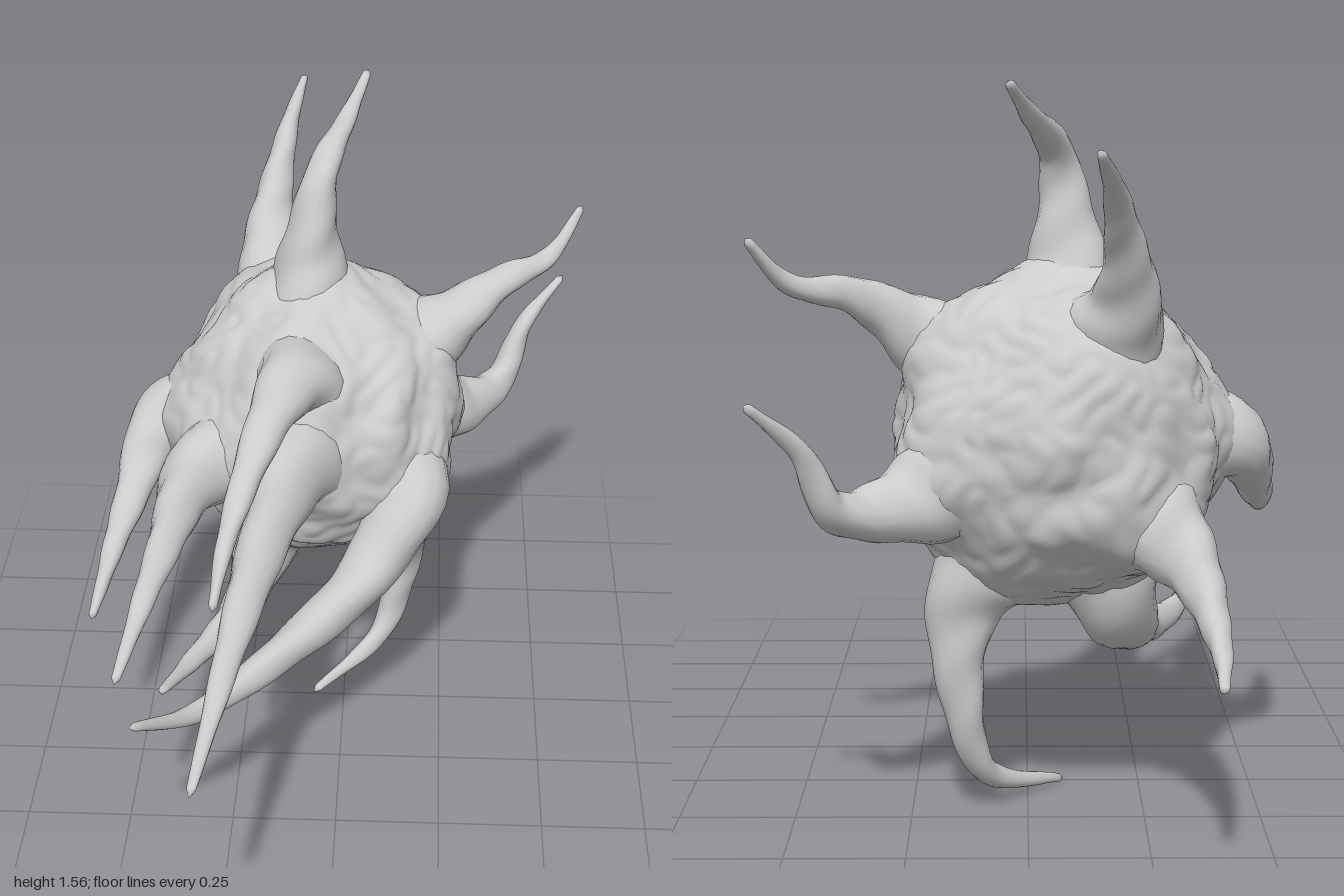
import * as THREE from 'three';
import { mergeVertices } from 'three/addons/utils/BufferGeometryUtils.js';

const CENTER = new THREE.Vector3(-0.07, 0.815, -0.365);
const RADIUS = 0.345;

// Each horn's centre line: root on the body, bends, tip
const HORNS = {
  topHorn: [[-0.085, 1.2, -0.355], [-0.06, 1.41, -0.38], [0, 1.5, -0.56], [0.04, 1.56, -0.69]],
  upperBackHorn: [[-0.2, 1.13, -0.63], [-0.17, 1.33, -0.8], [-0.13, 1.43, -0.99]],
  upperLeftHorn: [[0.24, 1.04, -0.37], [0.37, 1.12, -0.44], [0.49, 1.15, -0.53], [0.57, 1.25, -0.61]],
  lowerLeftHorn: [[0.29, 0.69, -0.6], [0.39, 0.71, -0.7], [0.45, 0.84, -0.76], [0.55, 0.945, -0.84]],
  bottomHorn: [[0.14, 0.45, -0.445], [0.14, 0.25, -0.465], [0.09, 0.08, -0.425], [-0.08, 0.005, -0.25]],
  lowerBackHorn: [[-0.33, 0.59, -0.65], [-0.375, 0.47, -0.83], [-0.37, 0.415, -0.99]],
  rightHorn: [[-0.44, 0.79, -0.32], [-0.52, 0.65, -0.13], [-0.57, 0.55, 0.2]],
  lowerRightHorn: [[-0.2, 0.42, -0.34], [-0.26, 0.34, -0.16], [-0.36, 0.335, 0.07], [-0.41, 0.385, 0.26]],
  upperFrontHorn: [[-0.11, 1.04, -0.07], [-0.16, 1.03, 0.13], [-0.23, 0.89, 0.37], [-0.25, 0.815, 0.53]],
  longFrontHorn: [[-0.12, 0.855, 0.02], [-0.18, 0.82, 0.45], [-0.255, 0.7, 0.995]],
  rightFrontHorn: [[-0.335, 0.8, -0.06], [-0.39, 0.785, 0.28], [-0.45, 0.7, 0.64]],
  sweptFrontHorn: [[0.15, 0.71, -0.14], [0.07, 0.57, 0], [-0.12, 0.47, 0.19], [-0.31, 0.45, 0.41], [-0.43, 0.56, 0.61]],
};

// Smooth lumps from sine waves pushed through one another
function lumps(x, y, z, f) {
  const a = x * f + 1.3 * Math.sin(y * f * 0.7 + 1.1);
  const b = y * f + 1.3 * Math.sin(z * f * 0.8 + 2.3);
  const c = z * f + 1.3 * Math.sin(x * f * 0.6 + 0.4);
  return (Math.sin(a) * Math.cos(b) + Math.sin(b) * Math.cos(c) + Math.sin(c) * Math.cos(a)) / 2;
}

// Shared vertices give smooth normals
function smooth(geometry) {
  geometry.deleteAttribute('uv');
  geometry.deleteAttribute('normal');
  const welded = mergeVertices(geometry, 1e-5);
  welded.computeVertexNormals();
  return welded;
}

// Lumpy ball, drawn out toward the root of every horn
function makeBody() {
  const geo = new THREE.IcosahedronGeometry(1, 36);
  const roots = Object.values(HORNS).map(([root]) => new THREE.Vector3(...root).sub(CENTER).normalize());
  const pos = geo.attributes.position;
  const d = new THREE.Vector3();
  for (let i = 0; i < pos.count; i++) {
    d.fromBufferAttribute(pos, i).normalize();
    let swell = 0;
    for (const root of roots) swell += Math.exp(-(1 - d.dot(root)) / 0.05);
    const rough = 0.018 * lumps(d.x, d.y, d.z, 7) + 0.009 * Math.abs(lumps(d.z, d.x, d.y, 15));
    const r = RADIUS + rough * (1 - 0.5 * Math.min(swell, 1)) + 0.045 * swell;
    d.multiplyScalar(r).add(CENTER);
    pos.setXYZ(i, d.x, d.y, d.z);
  }
  return smooth(geo);
}

// Tube whose rings shrink from a flared root to a closed, slightly gnarled tip
function makeHorn(points) {
  const steps = 56, sides = 18;
  const line = points.map((p) => new THREE.Vector3(...p));
  const inside = line[0].clone().lerp(CENTER, 0.5);
  const curve = new THREE.CatmullRomCurve3([inside, ...line]);
  const length = curve.getLength();
  const thick = 0.05 + 0.03 * length;
  const geo = new THREE.TubeGeometry(curve, steps, 1, sides, false);
  const pos = geo.attributes.position;
  const v = new THREE.Vector3();
  for (let i = 0; i <= steps; i++) {
    const t = i / steps;
    const c = curve.getPointAt(t);
    const flare = 0.06 * Math.exp(-(((t * length) / 0.2) ** 2));
    const radius = i === steps ? 0 : 0.009 + thick * (1 - t) ** 1.15 + flare;
    for (let j = 0; j <= sides; j++) {
      const k = i * (sides + 1) + j;
      const angle = ((j % sides) / sides) * Math.PI * 2;
      const ridge = 1 + 0.06 * Math.sin(3 * angle + t * 5) + 0.04 * Math.sin(t * 38 + 2 * angle);
      v.fromBufferAttribute(pos, k).sub(c).multiplyScalar(radius * ridge).add(c);
      pos.setXYZ(k, v.x, v.y, v.z);
    }
  }
  return smooth(geo);
}

export function createModel() {
  const model = new THREE.Group();
  model.name = 'spikedOrganism';
  const material = new THREE.MeshStandardMaterial({ color: 0xcccccc });
  const add = (name, geometry) => {
    const mesh = new THREE.Mesh(geometry, material);
    mesh.name = name;
    model.add(mesh);
  };

  add('body', makeBody());
  for (const [name, points] of Object.entries(HORNS)) add(name, makeHorn(points));
  return model;
}
